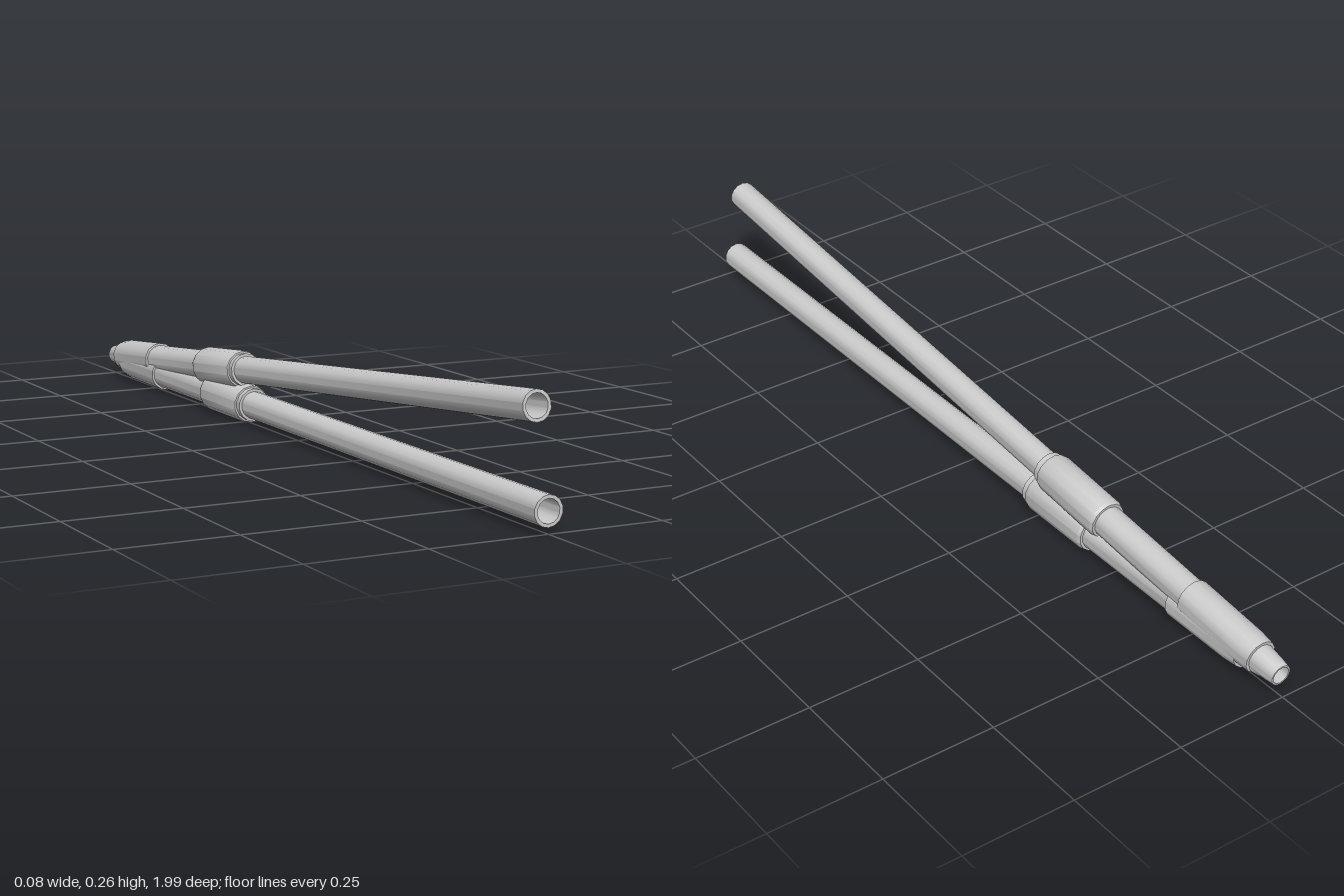
import * as THREE from 'three';
import { toCreasedNormals } from 'three/addons/utils/BufferGeometryUtils.js';

const SIDES = 14;
const grey = new THREE.MeshStandardMaterial({ color: 0xcccccc });
const green = new THREE.MeshStandardMaterial({ color: 0x0a7a14 });

// Hollow ring along z: outer outline from back to front, then the bore back again
function hollow(name, outer, boreFront, boreBack) {
  const first = outer[0], last = outer[outer.length - 1];
  const loop = [...outer, [boreFront, last[1]], [boreBack, first[1]], first];
  const lathe = new THREE.LatheGeometry(loop.map(([r, z]) => new THREE.Vector2(r, z)), SIDES);
  lathe.rotateX(Math.PI / 2);
  const mesh = new THREE.Mesh(toCreasedNormals(lathe, 0.55), grey);
  mesh.name = name;
  return mesh;
}

// One tube, front opening at z = 0, running back to z = -1.955
function makeTube(name) {
  const tube = new THREE.Group();
  tube.name = name;
  tube.add(
    hollow('longTube', [[0.031, -1.3], [0.031, 0]], 0.024, 0.024),
    hollow('collarLip', [[0.037, -1.24], [0.037, -1.215]], 0.03, 0.03),
    hollow('collar', [[0.040, -1.418], [0.043, -1.41], [0.043, -1.238], [0.041, -1.23]], 0.03, 0.03),
    hollow('gripTube', [[0.034, -1.72], [0.034, -1.3]], 0.024, 0.024),
    hollow('rearSleeve', [[0.036, -1.895], [0.039, -1.86], [0.039, -1.69]], 0.03, 0.026),
    hollow('taperedTip', [[0.023, -1.955], [0.026, -1.935], [0.031, -1.88], [0.031, -1.72]], 0.024, 0.019),
  );
  return tube;
}

export function createModel() {
  const model = new THREE.Group();
  model.name = 'crossedTubes';

  // Lower tube lies level
  const lower = makeTube('lowerTube');
  lower.position.set(0, 0.044, 1);

  // Upper tube rises towards the front
  const upper = makeTube('upperTube');
  upper.position.set(0, 0.231, 0.955);
  upper.rotation.x = -0.0935;

  // Green plug deep inside the upper bore
  const plug = new THREE.Mesh(new THREE.CylinderGeometry(0.0245, 0.0245, 0.02, SIDES), green);
  plug.name = 'innerPlug';
  plug.rotation.x = Math.PI / 2;
  plug.position.z = -0.39;
  upper.add(plug);

  model.add(lower, upper);
  return model;
}
